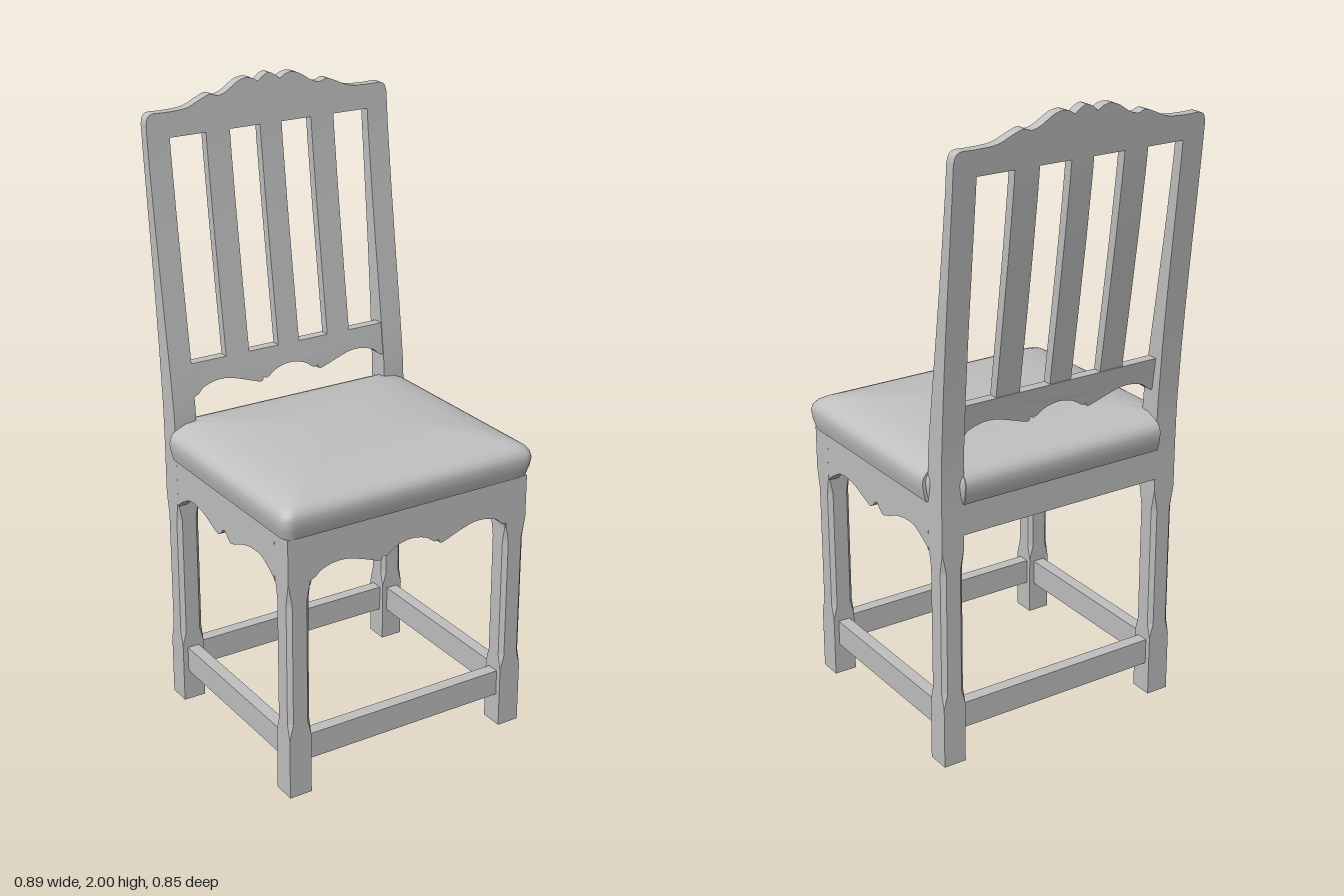
import * as THREE from 'three';
import { toCreasedNormals } from 'three/addons/utils/BufferGeometryUtils.js';

const OUT_X = 0.425, IN_X = 0.35, LEG = 0.075, SEAT_Y = 0.86;
const FRONT_Z = 0.372, BACK_Z = -0.2995, MID_Z = (FRONT_Z + BACK_Z) / 2;

// Front and back faces of the leaning backrest, as [y, z]
const LEAN_FRONT = [[0.86, -0.262], [1, -0.266], [1.1, -0.278], [1.2, -0.292], [1.4, -0.321], [1.6, -0.349], [1.8, -0.374], [2, -0.392]];
const LEAN_BACK = [[0.86, -0.337], [1, -0.339], [1.2, -0.352], [1.4, -0.369], [1.6, -0.389], [1.8, -0.409], [2, -0.426]];

// Half profiles, from the middle outwards
const WAVE = [[0, 0.757], [0.05, 0.747], [0.085, 0.725], [0.1, 0.728], [0.11, 0.714], [0.17, 0.735], [0.22, 0.75], [0.265, 0.752], [0.31, 0.74], [0.332, 0.722], [0.345, 0.716], [0.35, 0.7]];
const SIDE_WAVE = [[0, 0.74], [0.025, 0.72], [0.04, 0.713], [0.07, 0.722], [0.12, 0.742], [0.17, 0.752], [0.22, 0.75], [0.26, 0.73], [0.285, 0.714], [0.298, 0.7]];
const CREST = [[0, 1.998], [0.025, 1.987], [0.038, 1.976], [0.055, 1.986], [0.08, 1.991], [0.11, 1.983], [0.15, 1.958], [0.18, 1.949], [0.205, 1.957], [0.24, 1.945], [0.29, 1.925], [0.36, 1.921], [0.4, 1.922], [0.418, 1.913], [0.425, 1.89]];

function lookup(table, y) {
  let i = 0;
  while (i < table.length - 2 && y > table[i + 1][0]) i++;
  const [y0, z0] = table[i], [y1, z1] = table[i + 1];
  return z0 + (z1 - z0) * (y - y0) / (y1 - y0);
}

// Extruded board with one scalloped edge and one straight edge at flatY
function scalloped(half, flatY, depth) {
  const pts = [...half.slice(1).reverse().map(([x, y]) => [-x, y]), ...half];
  const edge = new THREE.SplineCurve(pts.map(([x, y]) => new THREE.Vector2(x, y))).getPoints(96);
  const end = half[half.length - 1][0];
  const shape = new THREE.Shape([...edge, new THREE.Vector2(end, flatY), new THREE.Vector2(-end, flatY)]);
  const g = new THREE.ExtrudeGeometry(shape, { depth, bevelEnabled: false });
  return toCreasedNormals(g, 0.5);
}

// Bends a part of depth 0..1 into the lean of the backrest
function lean(g, inset = 0, thickness = 0) {
  const p = g.attributes.position;
  for (let i = 0; i < p.count; i++) {
    const y = p.getY(i);
    const f = lookup(LEAN_FRONT, y) - inset;
    const b = thickness ? f - thickness : lookup(LEAN_BACK, y);
    p.setZ(i, b + (f - b) * p.getZ(i));
  }
  g.computeVertexNormals();
  return g;
}

function leaningBar(x, width, y0, y1, inset, thickness) {
  const g = new THREE.BoxGeometry(width, y1 - y0, 1, 1, 18, 1);
  g.translate(x, (y0 + y1) / 2, 0.5);
  return lean(g, inset, thickness);
}

// Skin through closed rings of equal length, listed from bottom to top
function loft(rings, crease) {
  const n = rings[0].length, index = [];
  for (let i = 0; i < rings.length - 1; i++) {
    for (let j = 0; j < n; j++) {
      const p = i * n + j, q = i * n + (j + 1) % n;
      index.push(p, p + n, q, q, p + n, q + n);
    }
  }
  const g = new THREE.BufferGeometry();
  g.setAttribute('position', new THREE.Float32BufferAttribute(rings.flat(2), 3));
  g.setIndex(index);
  return toCreasedNormals(g, crease);
}

// Square leg with chamfered corners along its middle
function legGeometry() {
  const ring = (y, c, h = LEG / 2) => {
    const k = h - c;
    return [[h, -k], [h, k], [k, h], [-k, h], [-h, k], [-h, -k], [-k, -h], [k, -h]].map(([x, z]) => [x, y, z]);
  };
  return loft([ring(0, 0, 0), ring(0, 0), ring(0.2, 0), ring(0.25, 0.013), ring(0.65, 0.013),
    ring(0.72, 0), ring(SEAT_Y, 0), ring(SEAT_Y, 0, 0)], 0.1);
}

// Padded seat: rounded outline, notched around the uprights
function seatGeometry() {
  const cz = 0.035, r = 0.035;
  const ring = (inset, y) => {
    const hx = 0.445 - inset, hz = 0.39 - inset, pts = [];
    const corners = [[1, 1], [-1, 1], [-1, -1], [1, -1]];
    corners.forEach(([sx, sz], k) => {
      const ox = sx * (hx - r), oz = sz * (hz - r);
      for (let i = 0; i <= 6; i++) {
        const a = (k + i / 6) * Math.PI / 2;
        pts.push([ox + r * Math.cos(a), oz + r * Math.sin(a)]);
      }
      const [nx, nz] = corners[(k + 1) % 4];
      const a = (k + 1) * Math.PI / 2;
      const from = pts[pts.length - 1];
      const to = [nx * (hx - r) + r * Math.cos(a), nz * (hz - r) + r * Math.sin(a)];
      for (let i = 1; i < 24; i++) pts.push([0, 1].map(d => from[d] + (to[d] - from[d]) * i / 24));
    });
    return pts.map(([x, z0]) => {
      let z = z0 + cz;
      const dx = Math.abs(x) - 0.352, dz = -0.266 - z;
      if (dx > 0 && dz > 0) {
        if (dx < dz) x = Math.sign(x) * 0.352;
        else z = -0.266;
      }
      return [x, y, z];
    });
  };
  const centre = y => ring(0, y).map(() => [0, y, cz]);
  const profile = [[0.012, 0.86], [0.004, 0.89], [0, 0.92], [0.004, 0.937], [0.014, 0.95], [0.03, 0.96],
    [0.06, 0.972], [0.11, 0.983], [0.18, 0.991], [0.27, 0.997]];
  return loft([centre(0.86), ...profile.map(([i, y]) => ring(i, y)), centre(1)], 0.7);
}

export function createModel() {
  const model = new THREE.Group();
  model.name = 'chair';
  const paint = new THREE.MeshStandardMaterial({ color: 0xc0c0c0 });
  paint.name = 'pale grey';

  const add = (name, geometry, x = 0, y = 0, z = 0) => {
    const mesh = new THREE.Mesh(geometry, paint);
    mesh.name = name;
    mesh.position.set(x, y, z);
    model.add(mesh);
    return mesh;
  };
  const box = (name, w, h, d, x, y, z) => add(name, new THREE.BoxGeometry(w, h, d), x, y, z);

  const legX = (OUT_X + IN_X) / 2;
  const span = FRONT_Z - BACK_Z - LEG;
  const leg = legGeometry();
  const sideApron = scalloped(SIDE_WAVE, SEAT_Y, 0.035).rotateY(Math.PI / 2);

  for (const [side, s] of [['left', 1], ['right', -1]]) {
    // Legs, side rails and uprights
    add(side + 'FrontLeg', leg, s * legX, 0, FRONT_Z);
    add(side + 'BackLeg', leg, s * legX, 0, BACK_Z);
    add(side + 'Apron', sideApron, s > 0 ? OUT_X - 0.035 : -OUT_X, 0, MID_Z);
    box(side + 'Stretcher', 0.04, 0.085, span, s * legX, 0.1475, MID_Z);
    add(side + 'Upright', leaningBar(s * legX, LEG, SEAT_Y, 1.847));

    // Corner blocks under the seat
    for (const [end, z, t] of [['Front', FRONT_Z, 1], ['Back', BACK_Z, -1]]) {
      const tri = new THREE.Shape([[0, 0], [0.11, 0], [0, 0.11]].map(([a, b]) =>
        new THREE.Vector2(s * (IN_X + 0.04 - a), t * b - (z + t * 0.002))));
      const block = new THREE.ExtrudeGeometry(tri, { depth: 0.04, bevelEnabled: false });
      add(side + end + 'CornerBlock', block.rotateX(-Math.PI / 2), 0, 0.81, 0);
    }
  }

  // Front and back rails
  add('frontApron', scalloped(WAVE, SEAT_Y, 0.035), 0, 0, FRONT_Z + LEG / 2 - 0.035);
  box('backApron', IN_X * 2, 0.1, 0.035, 0, SEAT_Y - 0.05, BACK_Z - LEG / 2 + 0.0175);
  box('frontStretcher', IN_X * 2, 0.085, 0.04, 0, 0.1475, FRONT_Z);
  box('backStretcher', IN_X * 2, 0.085, 0.04, 0, 0.1475, BACK_Z);

  add('seat', seatGeometry());

  // Backrest: crest, lower rail and slats
  add('crestRail', toCreasedNormals(lean(scalloped(CREST, 1.845, 1)), 0.5));
  const railWave = WAVE.map(([x, y]) => [x, Math.max(y, 0.716) + 0.335]);
  add('lowerBackRail', toCreasedNormals(lean(scalloped(railWave, 1.155, 1), 0.003, 0.034), 0.5));
  for (const x of [-0.185, 0, 0.185]) {
    add('backSlat', leaningBar(x, x ? 0.082 : 0.076, 1.15, 1.85, 0.003, 0.03));
  }
  return model;
}
